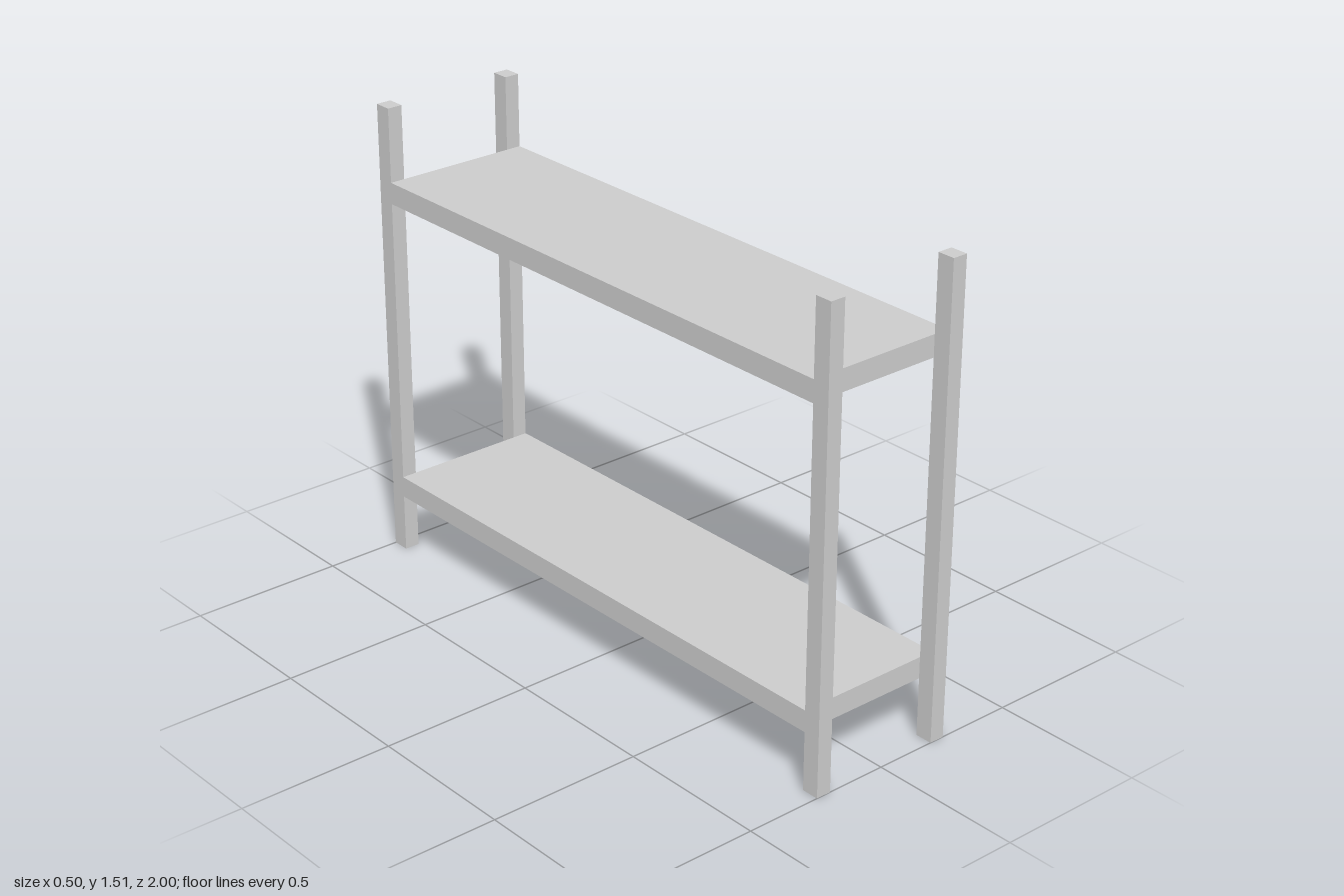
import * as THREE from 'three';

export function createModel() {
  const group = new THREE.Group();
  group.name = 'shelfRack';
  const material = new THREE.MeshStandardMaterial({ color: 0xcccccc, flatShading: true });

  const height = 1.51, halfWidth = 0.25, halfLength = 1;
  const postWidth = 0.05, postDepth = 0.057;

  // Adds a box standing on height y
  function addBox(name, w, h, d, x, y, z) {
    const mesh = new THREE.Mesh(new THREE.BoxGeometry(w, h, d), material);
    mesh.name = name;
    mesh.position.set(x, y + h / 2, z);
    group.add(mesh);
  }

  // Four corner posts
  for (const sx of [-1, 1]) {
    for (const sz of [-1, 1]) {
      const name = (sz > 0 ? 'front' : 'back') + (sx > 0 ? 'Left' : 'Right') + 'Post';
      addBox(name, postWidth, height, postDepth,
        sx * (halfWidth - postWidth / 2), 0, sz * (halfLength - postDepth / 2));
    }
  }

  // Two full-width shelves held between the front and back posts
  const shelfLength = 2 * (halfLength - postDepth);
  addBox('lowerShelf', 2 * halfWidth, 0.07, shelfLength, 0, 0.19, 0);
  addBox('upperShelf', 2 * halfWidth, 0.07, shelfLength, 0, 1.2, 0);

  return group;
}
